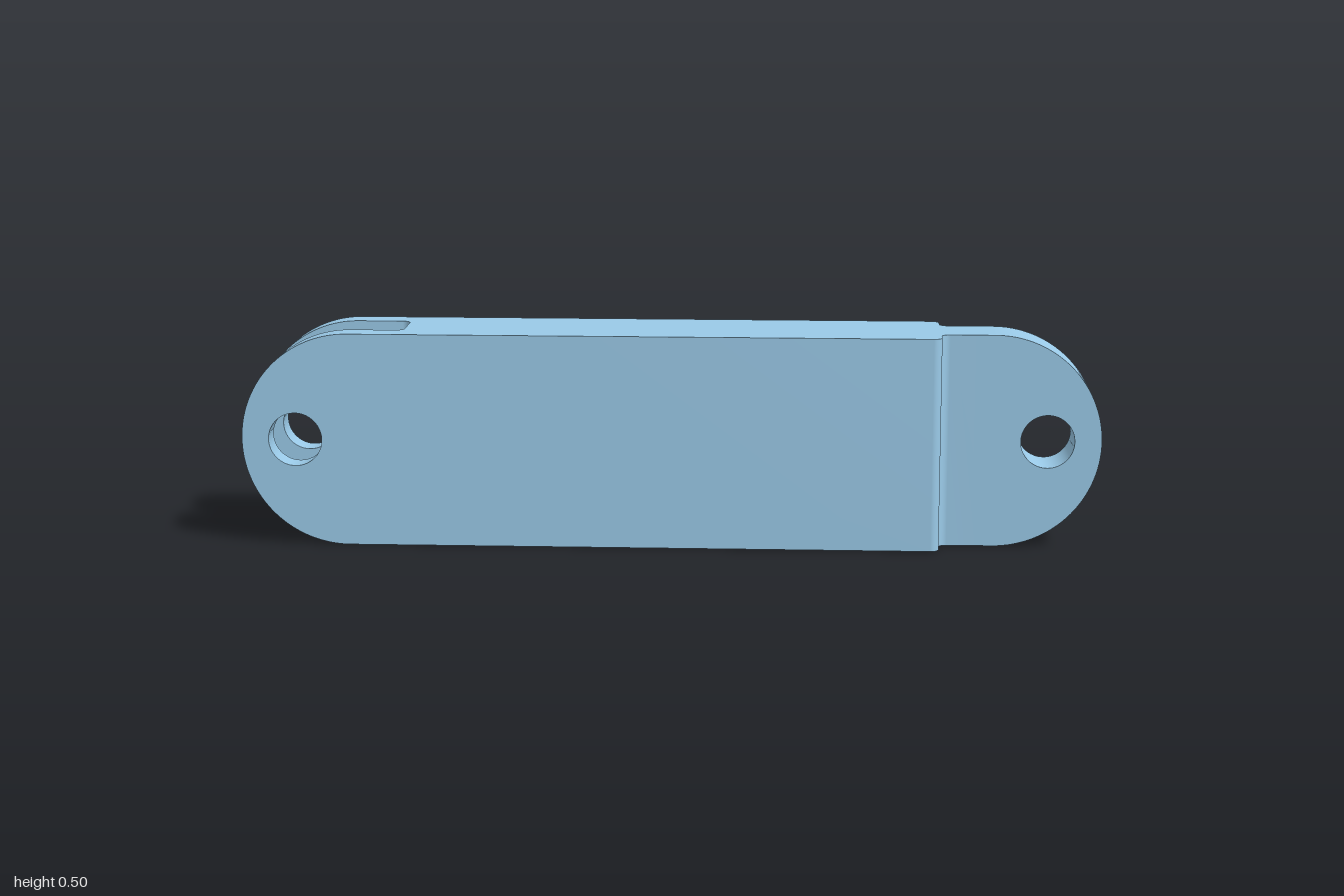
import * as THREE from 'three';
import { toCreasedNormals } from 'three/addons/utils/BufferGeometryUtils.js';

const HEIGHT = 0.5, OUTER = 0.125, INNER = 0.0625; // half thicknesses in z
const ROUND_X = 0.75, STEP_X = 0.625, FILLET = 0.02;
const HOLE_X = 0.875, HOLE_R = 0.0625;

const material = new THREE.MeshStandardMaterial({ color: 0x9acae8 });

// Creasing is done at a larger scale because it merges points closer than 0.01
function extrude(shape, depth, curveSegments) {
  const geometry = new THREE.ExtrudeGeometry(shape, { depth, curveSegments, bevelEnabled: false });
  geometry.scale(100, 100, 100);
  return toCreasedNormals(geometry, Math.PI / 6).scale(0.01, 0.01, 0.01);
}

function addMesh(group, name, geometry) {
  const mesh = new THREE.Mesh(geometry, material);
  mesh.name = name;
  group.add(mesh);
}

// Plan profile of the straight part: slot at -x, filleted step to the tongue at +x
function bodyProfile() {
  const q = Math.PI / 2, r = FILLET, w = STEP_X;
  const s = new THREE.Shape();
  s.moveTo(0, -OUTER);
  s.absarc(w - r, -OUTER + r, r, -q, 0, false);
  s.absarc(w + r, -INNER - r, r, 2 * q, q, true);
  s.lineTo(ROUND_X, -INNER);
  s.lineTo(ROUND_X, INNER);
  s.absarc(w + r, INNER + r, r, 3 * q, 2 * q, true);
  s.absarc(w - r, OUTER - r, r, 0, q, false);
  s.lineTo(-ROUND_X, OUTER);
  s.lineTo(-ROUND_X, INNER);
  s.absarc(-w - r, INNER - r, r, q, 0, true);
  s.absarc(-w - r, -INNER + r, r, 0, -q, true);
  s.lineTo(-ROUND_X, -INNER);
  s.lineTo(-ROUND_X, -OUTER);
  return s;
}

// Half-round lug with a pin hole, rounded towards -x
function lugGeometry(z0, z1) {
  const s = new THREE.Shape();
  s.moveTo(-ROUND_X, HEIGHT / 2);
  s.absarc(-ROUND_X, HEIGHT / 2, HEIGHT / 2, Math.PI / 2, Math.PI * 1.5, false);
  const rim = [];
  for (let i = 0; i < 64; i++) {
    const a = -i / 64 * Math.PI * 2;
    rim.push(new THREE.Vector2(-HOLE_X + HOLE_R * Math.cos(a), HEIGHT / 2 + HOLE_R * Math.sin(a)));
  }
  s.holes.push(new THREE.Path(rim));
  return extrude(s, z1 - z0, 48).translate(0, 0, z0);
}

export function createModel() {
  const link = new THREE.Group();
  link.name = 'clevisLink';

  // Straight body, extruded upwards
  addMesh(link, 'body', extrude(bodyProfile(), HEIGHT, 24).rotateX(-Math.PI / 2));

  // Single tongue on one end, forked pair on the other
  addMesh(link, 'tongueEnd', lugGeometry(-INNER, INNER).rotateY(Math.PI));
  addMesh(link, 'frontForkEnd', lugGeometry(INNER, OUTER));
  addMesh(link, 'backForkEnd', lugGeometry(-OUTER, -INNER));

  return link;
}
